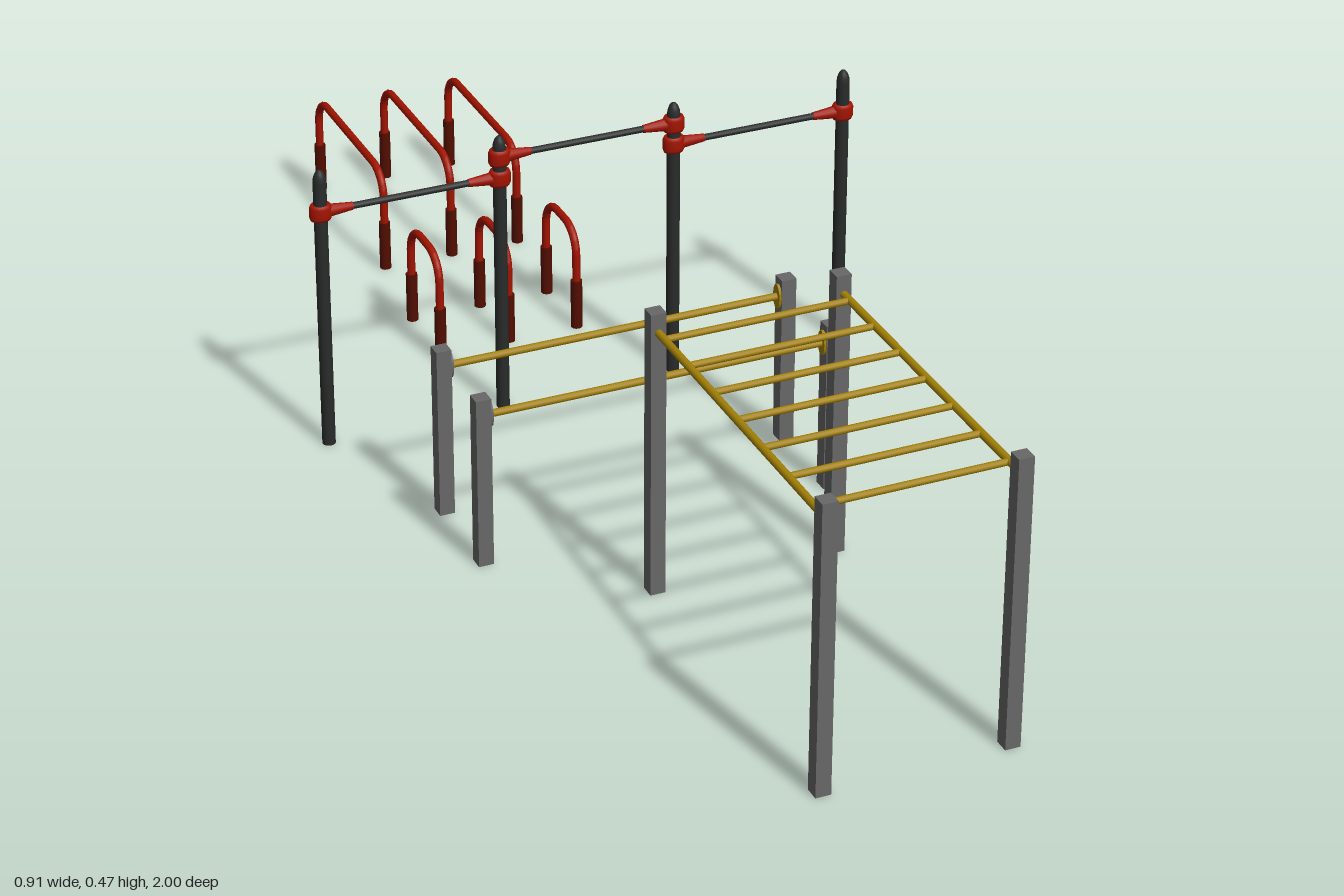
import * as THREE from 'three';

const mat = (name, color) => {
  const m = new THREE.MeshStandardMaterial({ color });
  m.name = name;
  return m;
};

export function createModel() {
  const grey = mat('grey post', 0x686868);
  const black = mat('black steel', 0x2a2b2b);
  const yellow = mat('yellow bar', 0xa38106);
  const red = mat('red paint', 0xa21400);
  const darkRed = mat('dark red sleeve', 0x520e00);

  const root = new THREE.Group();
  root.name = 'workoutPark';
  const group = (name) => {
    const g = new THREE.Group();
    g.name = name;
    root.add(g);
    return g;
  };
  const add = (parent, name, geometry, material, x, y, z) => {
    const m = new THREE.Mesh(geometry, material);
    m.name = name;
    m.position.set(x, y, z);
    parent.add(m);
    return m;
  };
  // Round bar along x or z, optionally tapered along +x
  const bar = (parent, name, axis, length, r, material, x, y, z, rEnd = r) => {
    const g = new THREE.CylinderGeometry(rEnd, r, length, 12);
    if (axis === 'x') g.rotateZ(-Math.PI / 2);
    else g.rotateX(Math.PI / 2);
    return add(parent, name, g, material, x, y, z);
  };
  const squarePost = (parent, h, x, z) =>
    add(parent, 'squarePost', new THREE.BoxGeometry(0.024, h, 0.024), grey, x, h / 2, z);

  // Monkey bars: four posts, two rails, seven rungs
  const monkey = group('monkeyBars');
  for (const x of [-0.145, 0.147]) {
    for (const z of [0.424, 0.987]) squarePost(monkey, 0.469, x, z);
    bar(monkey, 'sideRail', 'z', 0.55, 0.006, yellow, x, 0.438, 0.7055);
  }
  for (let i = 0; i < 7; i++) {
    bar(monkey, 'rung', 'x', 0.292, 0.0052, yellow, 0.001, 0.438, 0.456 + i * 0.0825);
  }

  // Parallel bars with round flanges on the posts
  const parallel = group('parallelBars');
  for (const z of [0.092, 0.251]) {
    for (const [x, inward, flangeMat] of [[-0.347, 1, grey], [0.219, -1, yellow]]) {
      squarePost(parallel, 0.282, x, z);
      const flange = new THREE.CylinderGeometry(0.021, 0.021, 0.005, 16).rotateZ(Math.PI / 2);
      flange.scale(1, 1, 0.55);
      add(parallel, 'flange', flange, flangeMat, x + inward * 0.0135, 0.251, z);
    }
    bar(parallel, 'handBar', 'x', 0.55, 0.0058, yellow, -0.064, 0.251, z);
  }

  // Pull-up frame: four domed posts, three bars, clamps with tapered sockets
  const pullUp = group('pullUpFrame');
  const zP = -0.17;
  const profile = (pts) => pts.map(([r, y]) => new THREE.Vector2(r, y));
  const postProfile = profile([[0, 0], [0.0105, 0], [0.0105, 0.455], [0.0095, 0.463], [0.007, 0.47], [0.0035, 0.4742], [0, 0.475]]);
  const clampProfile = profile([[0.0105, -0.013], [0.0155, -0.013], [0.0178, -0.008], [0.0178, 0.008], [0.0155, 0.013], [0.0105, 0.013]]);
  const postX = [-0.438, -0.146, 0.146, 0.438];
  for (const x of postX) {
    add(pullUp, 'roundPost', new THREE.LatheGeometry(postProfile, 16), black, x, 0, zP);
  }
  [0.404, 0.439, 0.404].forEach((y, i) => {
    const a = postX[i], b = postX[i + 1];
    bar(pullUp, 'pullUpBar', 'x', b - a, 0.0052, black, (a + b) / 2, y, zP);
    for (const [x, dir] of [[a, 1], [b, -1]]) {
      // Clamps are slimmer front to back than side to side
      const clamp = new THREE.LatheGeometry(clampProfile, 16).scale(1, 1, 0.78);
      add(pullUp, 'clamp', clamp, red, x, y, zP);
      const socket = bar(pullUp, 'clampSocket', 'x', 0.04, 0.0105, red, x + dir * 0.032, y, zP, 0.0063);
      socket.geometry.scale(1, 1, 0.88);
      if (dir < 0) socket.rotation.y = Math.PI;
    }
  });

  // Push-up bars: rounded hoops standing in dark sleeves
  const hoop = (parent, x, z0, z1) => {
    const top = 0.175, r = 0.045, yc = top - r;
    const V = (y, z) => new THREE.Vector3(0, y, z);
    const pts = [V(0.07, z0)];
    for (let i = 0; i <= 6; i++) {
      const t = (i / 6) * Math.PI / 2;
      pts.push(V(yc + r * Math.sin(t), z0 - r + r * Math.cos(t)));
    }
    for (let i = 0; i <= 6; i++) {
      const t = (i / 6) * Math.PI / 2;
      pts.push(V(yc + r * Math.cos(t), z1 + r - r * Math.sin(t)));
    }
    pts.push(V(0.07, z1));
    const path = new THREE.CurvePath();
    for (let i = 1; i < pts.length; i++) path.add(new THREE.LineCurve3(pts[i - 1], pts[i]));
    add(parent, 'hoop', new THREE.TubeGeometry(path, 90, 0.0066, 10), red, x, 0, 0);
    for (const z of [z0, z1]) {
      add(parent, 'sleeve', new THREE.CylinderGeometry(0.0095, 0.0095, 0.085, 12), darkRed, x, 0.0425, z);
    }
  };
  const small = group('smallPushUpBars');
  const large = group('largePushUpBars');
  for (let i = 0; i < 3; i++) {
    hoop(small, -0.1765 + i * 0.1185, -0.362, -0.49);
    hoop(large, -0.1535 + i * 0.1185, -0.676, -0.9905);
  }
  return root;
}
